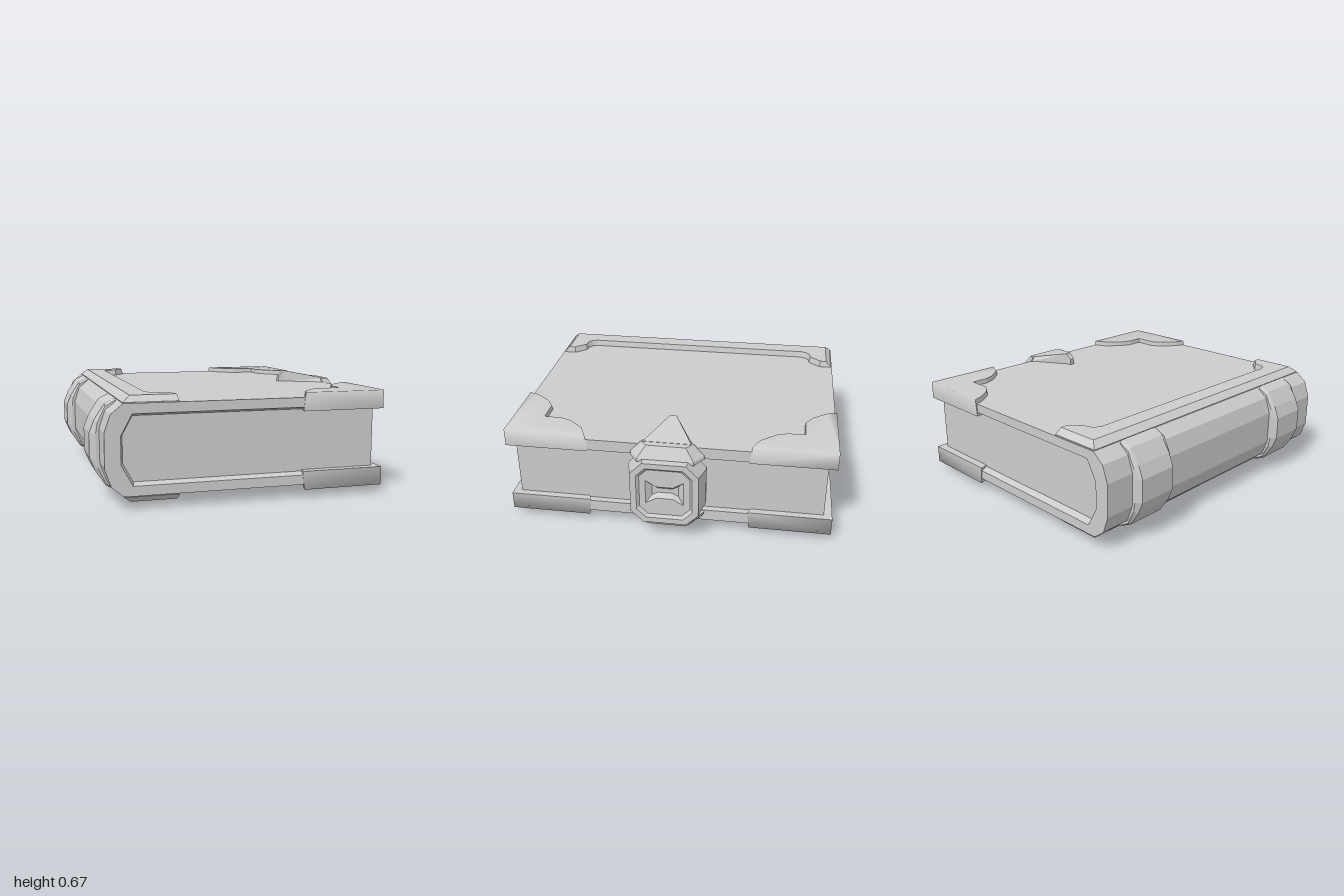
import * as THREE from 'three';

const grey = new THREE.MeshStandardMaterial({ color: 0xcccccc });
grey.name = 'plain grey';

// Closed flat-shaded solid through rings [[u, v] points, w]; place maps (u, v, w) to x, y, z
function loft(rings, place) {
  const toV2 = (pts) => pts.map(([u, v]) => new THREE.Vector2(u, v));
  if (THREE.ShapeUtils.area(toV2(rings[0][0])) < 0) {
    rings = rings.map(([pts, w]) => [[...pts].reverse(), w]);
  }
  const loops = rings.map(([pts, w]) => pts.map(([u, v]) => new THREE.Vector3(...place(u, v, w))));
  const tris = [];
  for (let r = 0; r + 1 < loops.length; r++) {
    const a = loops[r], b = loops[r + 1];
    a.forEach((p, i) => {
      const j = (i + 1) % a.length;
      tris.push([p, a[j], b[j]], [p, b[j], b[i]]);
    });
  }
  const cap = (k) => THREE.ShapeUtils.triangulateShape(toV2(rings[k][0]), []).map((f) => f.map((i) => loops[k][i]));
  cap(0).forEach(([a, b, c]) => tris.push([a, c, b]));
  tris.push(...cap(rings.length - 1));
  // Turn the solid outward if the placement mirrored it
  let volume = 0;
  for (const [a, b, c] of tris) volume += a.dot(b.clone().cross(c));
  const points = tris.flatMap(([a, b, c]) => (volume < 0 ? [a, c, b] : [a, b, c]));
  const geo = new THREE.BufferGeometry().setFromPoints(points);
  geo.computeVertexNormals();
  return geo;
}

// Blends normals across the top and outer walls of a corner guard
function softenOuterEdges(geo, side) {
  const pos = geo.attributes.position, nor = geo.attributes.normal;
  const sums = new Map(), list = [];
  const p = new THREE.Vector3(), n = new THREE.Vector3();
  for (let i = 0; i < pos.count; i++) {
    n.fromBufferAttribute(nor, i);
    if (Math.max(Math.abs(n.x), Math.abs(n.y), Math.abs(n.z)) < 0.999 || n.y * side < -0.9) continue;
    p.fromBufferAttribute(pos, i);
    const key = p.toArray().map((c) => c.toFixed(3)).join();
    if (!sums.has(key)) sums.set(key, new THREE.Vector3());
    sums.get(key).add(n);
    list.push([i, key]);
  }
  for (const [i, key] of list) {
    n.copy(sums.get(key)).normalize();
    nor.setXYZ(i, n.x, n.y, n.z);
  }
  return geo;
}

// Completes an upper half outline with its mirror in v
const mirrorV = (half) => [...half, ...half.map(([u, v]) => [u, -v]).reverse()];

const octagon = (a, b, c) => [
  [a, b - c], [a - c, b], [c - a, b], [-a, b - c], [-a, c - b], [c - a, -b], [a - c, -b], [a, c - b],
];
const bowtie = (a, b, c, d) => [[a, b], [c, d], [-c, d], [-a, b], [-a, -b], [-c, -d], [c, -d], [a, -b]];

export function createModel() {
  const book = new THREE.Group();
  book.name = 'book';
  const add = (name, geo) => {
    const mesh = new THREE.Mesh(geo, grey);
    mesh.name = name;
    book.add(mesh);
  };
  const alongZ = (u, v, w) => [u, v, w];

  // Cover: C-shaped section with a bevelled inner lip at both ends
  const cover = (d) => {
    const outer = [[0.788, 0.257], [-0.77, 0.257], [-0.84, 0.2], [-0.875, 0.1]];
    const inner = [[-0.785 + d, 0.08], [-0.72 + d * 0.5, 0.2 - d], [0.788, 0.2 - d]];
    return [...outer, ...outer.map(([x, y]) => [x, -y]).reverse(),
      ...inner.map(([x, y]) => [x, -y]).reverse(), ...inner];
  };
  add('cover', loft([[cover(0), -0.993], [cover(0.015), -0.95], [cover(0.015), 0.95], [cover(0), 0.993]], alongZ));

  // Page block, tucked into the cover
  const pages = mirrorV([[0.747, 0.22], [-0.74, 0.22], [-0.81, 0.09]]);
  add('pages', loft([[pages, -0.95], [pages, 0.95]], alongZ));

  // Raised spine bands with chamfered sides
  const bandLow = mirrorV([[-0.78, 0.255], [-0.84, 0.222], [-0.885, 0.13], [-0.895, 0.07]]);
  const bandHigh = mirrorV([[-0.78, 0.266], [-0.84, 0.236], [-0.9, 0.145], [-0.93, 0.07]]);
  for (const z of [-0.655, 0.655]) {
    add('spineBand', loft([
      [bandLow, z - 0.148], [bandHigh, z - 0.125], [bandHigh, z + 0.125], [bandLow, z + 0.148],
    ], alongZ));
  }

  // Hinge plate outlines in x, z
  const hingeBase = mirrorV([[-0.77, 0.985], [-0.455, 0.985], [-0.455, 0.905], [-0.518, 0.832],
    [-0.565, 0.825], [-0.592, 0.805], [-0.605, 0.77]]);
  const hingeTop = mirrorV([[-0.725, 0.95], [-0.463, 0.95], [-0.463, 0.91], [-0.523, 0.84],
    [-0.57, 0.833], [-0.598, 0.812], [-0.613, 0.775]]);

  // Corner guard outlines in x, z
  const guardTop = [[0.79, 1], [0.29, 1], [0.31, 0.94], [0.38, 0.85], [0.45, 0.805], [0.595, 0.805],
    [0.595, 0.7], [0.62, 0.635], [0.7, 0.54], [0.79, 0.5]];
  const guardBase = guardTop.map(([x, z]) => [x === 0.79 ? x : x - 0.012, z === 1 ? z : z - 0.012]);

  for (const side of [1, -1]) {
    const up = (u, v, w) => [u, side * w, v];
    add('hingePlate', loft([[hingeBase, 0.25], [hingeBase, 0.262], [hingeTop, 0.297]], up));

    for (const end of [1, -1]) {
      const geo = loft([[guardBase, 0.177], [guardTop, 0.287]], (u, v, w) => [u, side * w, end * v]);
      add('cornerGuard', softenOuterEdges(geo, side));
    }

    // Clasp strap: tapered shoulder over the cover edge
    add('claspShoulder', loft([
      [mirrorV([[0.78, 0.225], [0.8, 0.225], [0.88, 0.17]]), 0.19],
      [mirrorV([[0.78, 0.22], [0.8, 0.22], [0.878, 0.168]]), 0.21],
      [mirrorV([[0.78, 0.15], [0.8, 0.15], [0.84, 0.118]]), 0.282],
    ], up));

    // Pointed strap tip, rising towards its point
    const tip = (hw, low, high) => [[hw, low], [hw * 0.85, high], [-hw * 0.85, high], [-hw, low]];
    add('claspTip', loft([
      [tip(0.018, 0.25, 0.296), 0.51], [tip(0.022, 0.25, 0.333), 0.55], [tip(0.17, 0.25, 0.284), 0.8],
    ], (u, v, w) => [w, side * v, u]));
  }

  // Clasp plate: octagon with a recessed panel and a sunken ornament
  add('claspPlate', loft([
    [octagon(0.235, 0.207, 0.085), 0.775],
    [octagon(0.235, 0.207, 0.085), 0.8],
    [octagon(0.205, 0.207, 0.075), 0.925],
    [octagon(0.168, 0.172, 0.055), 0.925],
    [octagon(0.152, 0.156, 0.05), 0.908],
    [bowtie(0.115, 0.08, 0.05, 0.04), 0.908],
    [bowtie(0.08, 0.035, 0.045, 0.015), 0.88],
  ], (u, v, w) => [w, v, u]));

  book.position.y = 0.333;
  const model = new THREE.Group();
  model.add(book);
  return model;
}
